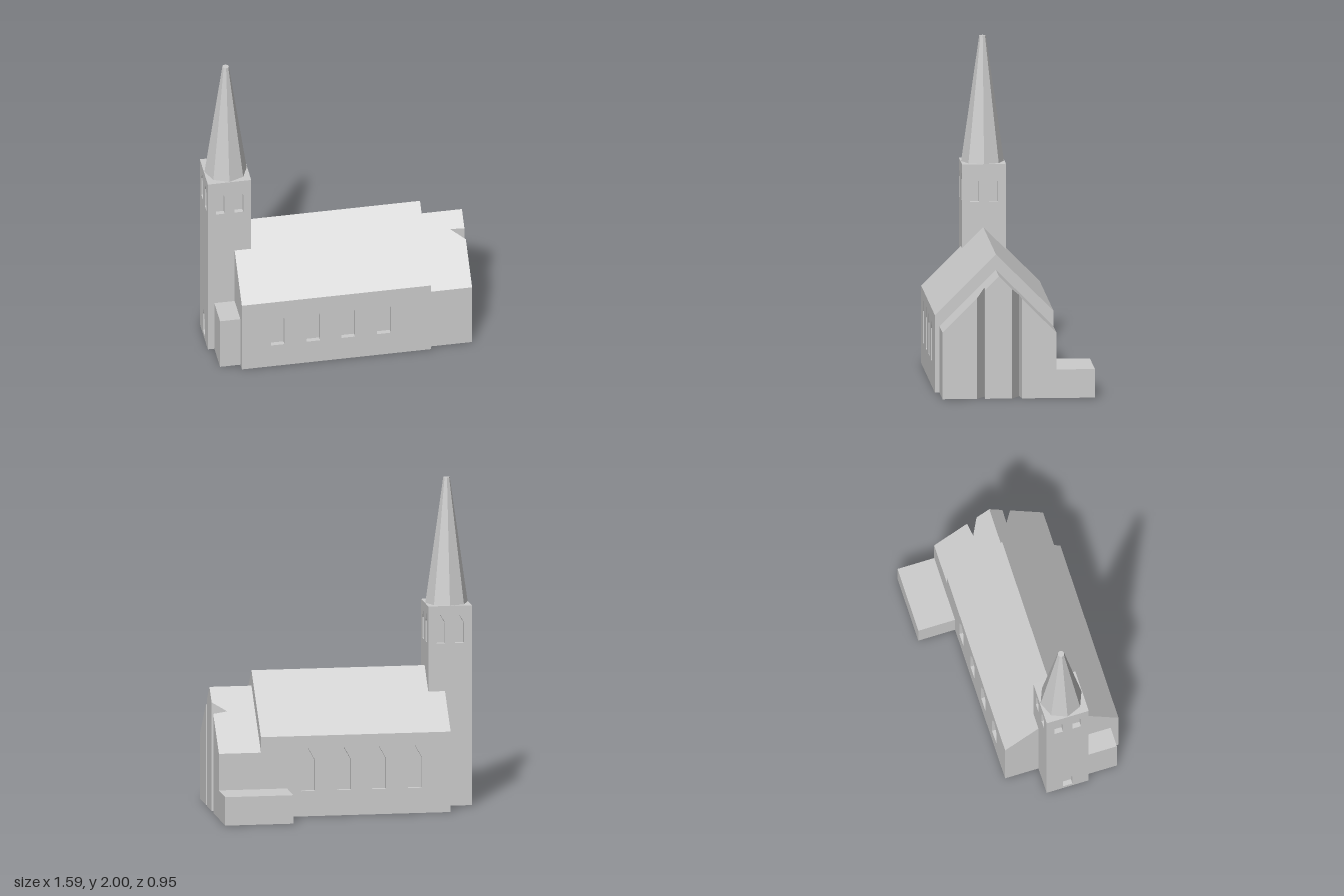
import * as THREE from 'three';

const stone = new THREE.MeshStandardMaterial({ color: 0xcccccc });
stone.name = 'pale stone';

const RIDGE_Z = 0.105;
const RECESS = 0.03;

function add(parent, name, geometry, x = 0, y = 0, z = 0, turn = 0) {
  const mesh = new THREE.Mesh(geometry, stone);
  mesh.name = name;
  mesh.position.set(x, y, z);
  mesh.rotation.y = turn;
  parent.add(mesh);
  return mesh;
}

// Box given by its limits on each axis
function block(parent, name, x0, x1, y0, y1, z0, z1) {
  add(parent, name, new THREE.BoxGeometry(x1 - x0, y1 - y0, z1 - z0),
    (x0 + x1) / 2, (y0 + y1) / 2, (z0 + z1) / 2);
}

// Footprint of [x, z] points raised to a 45 degree roof below the given ridge
function roofedPrism(points, ridgeY) {
  const shape = new THREE.Shape(points.map(([x, z]) => new THREE.Vector2(x, -z)));
  const geo = new THREE.ExtrudeGeometry(shape, { depth: 1, bevelEnabled: false });
  geo.rotateX(-Math.PI / 2);
  const p = geo.attributes.position;
  for (let i = 0; i < p.count; i++) {
    if (p.getY(i) > 0.5) p.setY(i, ridgeY - Math.abs(p.getZ(i) - RIDGE_Z));
  }
  geo.computeVertexNormals();
  return geo;
}

// Wall plate facing +z with pointed openings; its top edge rises inwards by topRise
function piercedWall(width, height, openings, topRise = 0) {
  const w = width / 2;
  const shape = new THREE.Shape([[-w, 0], [w, 0], [w, height], [-w, height]]
    .map(([x, y]) => new THREE.Vector2(x, y)));
  for (const { x, half, sill, spring, tip } of openings) {
    shape.holes.push(new THREE.Path([
      [x - half, sill], [x - half, spring], [x, tip], [x + half, spring], [x + half, sill],
    ].map(([a, b]) => new THREE.Vector2(a, b))));
  }
  const geo = new THREE.ExtrudeGeometry(shape, { depth: RECESS, bevelEnabled: false });
  geo.translate(0, 0, -RECESS);
  const p = geo.attributes.position;
  for (let i = 0; i < p.count; i++) {
    if (p.getY(i) > height - 1e-4 && p.getZ(i) < -RECESS / 2) p.setY(i, height + topRise);
  }
  geo.computeVertexNormals();
  return geo;
}

function makeNave() {
  const nave = new THREE.Group();
  nave.name = 'nave';
  const x0 = -0.63, x1 = 0.535, front = 0.475, back = -0.245, ridge = 0.845;
  const mid = (x0 + x1) / 2;

  // Solid core in two halves meeting under the ridge
  for (const [name, za, zb] of [
    ['naveFrontHalf', RIDGE_Z, front - RECESS],
    ['naveBackHalf', back + RECESS, RIDGE_Z],
  ]) {
    add(nave, name, roofedPrism([[x0, zb], [x1, zb], [x1, za], [x0, za]], ridge));
  }

  // Long walls with four lancet windows each
  const windows = (side) => [-0.41, -0.19, 0.025, 0.245].map((x) => (
    { x: side * (x - mid), half: 0.042, sill: 0.155, spring: 0.345, tip: 0.42 }));
  add(nave, 'naveFrontWall',
    piercedWall(x1 - x0, ridge - (front - RIDGE_Z), windows(1), RECESS), mid, 0, front);
  add(nave, 'naveBackWall',
    piercedWall(x1 - x0, ridge - (RIDGE_Z - back), windows(-1), RECESS), mid, 0, back, Math.PI);
  return nave;
}

function makeChancel() {
  const chancel = new THREE.Group();
  chancel.name = 'chancel';
  const x0 = 0.535, x1 = 0.793, inner = 0.705, ridge = 0.75;
  // Each half has a wedge-shaped slot cut through its end wall
  add(chancel, 'chancelFrontHalf', roofedPrism([
    [x0, 0.447], [x1, 0.447], [x1, 0.237], [inner, 0.186],
    [x1, 0.189], [x1, RIDGE_Z], [x0, RIDGE_Z],
  ], ridge));
  add(chancel, 'chancelBackHalf', roofedPrism([
    [x0, RIDGE_Z], [x1, RIDGE_Z], [x1, 0.024], [inner, -0.025],
    [x1, -0.036], [x1, -0.245], [x0, -0.245],
  ], ridge));
  return chancel;
}

function makeTower() {
  const tower = new THREE.Group();
  tower.name = 'tower';
  const half = 0.1335, height = 1.23, core = half - RECESS;
  tower.position.set(-0.6615, 0, 0.1);

  block(tower, 'towerCore', -core, core, 0, height, -core, core);

  // Four walls with paired belfry openings, and a doorway on the outer end
  const belfry = [-0.0575, 0.0575].map((x) => (
    { x, half: 0.027, sill: 1.0, spring: 1.125, tip: 1.175 }));
  const door = { x: 0, half: 0.03, sill: 0.03, spring: 0.15, tip: 0.21 };
  const names = ['towerFrontWall', 'towerInnerWall', 'towerBackWall', 'towerOuterWall'];
  names.forEach((name, i) => {
    const turn = i * Math.PI / 2;
    const width = i % 2 ? 2 * core : 2 * half;
    const openings = i === 3 ? [...belfry, door] : belfry;
    add(tower, name, piercedWall(width, height, openings),
      Math.sin(turn) * half, 0, Math.cos(turn) * half, turn);
  });

  // Eight-sided spire with a small flat tip
  const spire = new THREE.CylinderGeometry(0.02, 0.13, 2 - height, 8).toNonIndexed();
  spire.computeVertexNormals();
  add(tower, 'spire', spire, 0, (2 + height) / 2, 0);
  return tower;
}

export function createModel() {
  const church = new THREE.Group();
  church.name = 'church';
  church.add(makeNave(), makeChancel(), makeTower());
  // Low flat-roofed side buildings
  block(church, 'vestry', 0.375, 0.793, 0, 0.175, -0.478, -0.245);
  block(church, 'porch', -0.755, -0.63, 0, 0.34, 0.2335, 0.425);
  return church;
}
